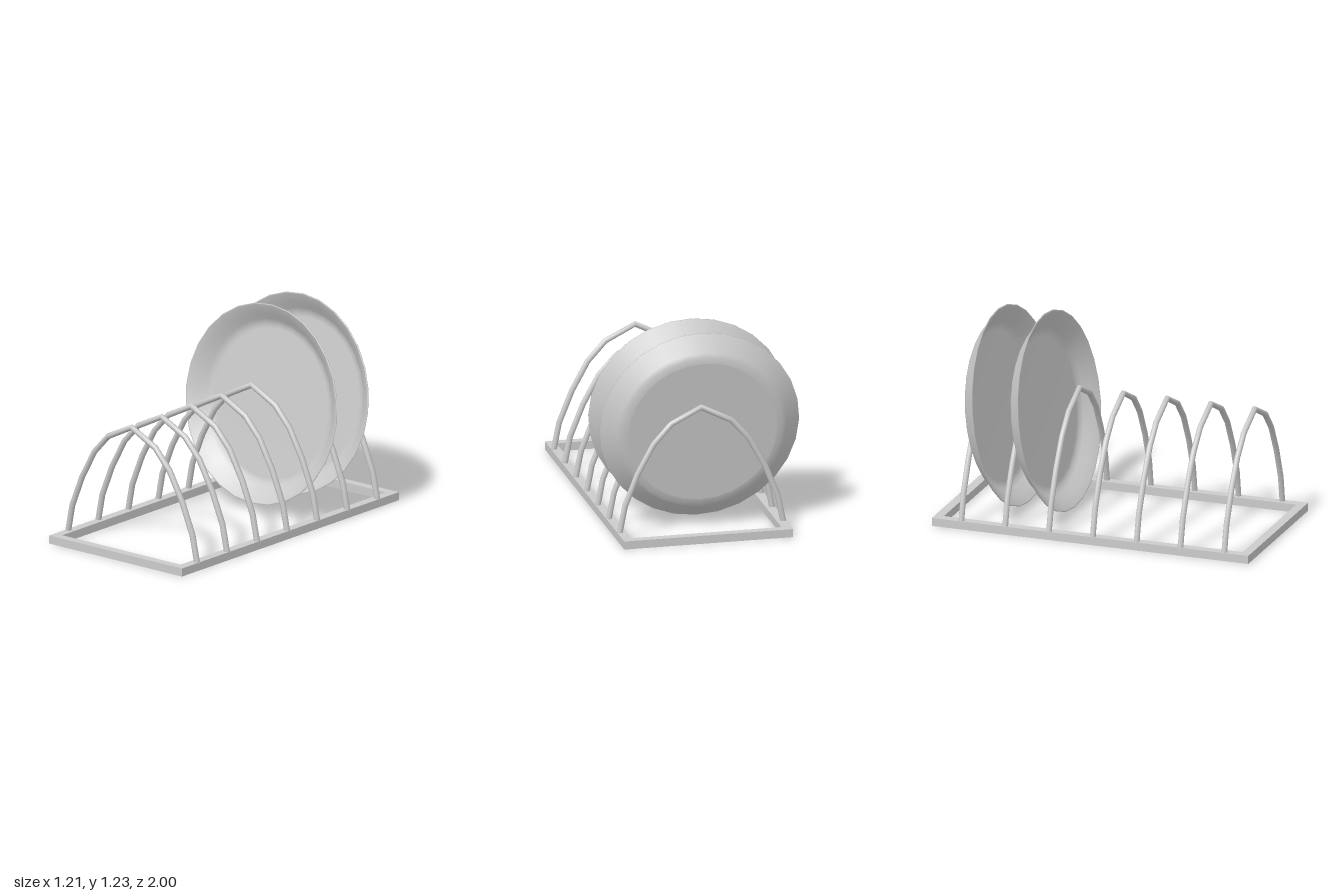
import * as THREE from 'three';

const grey = new THREE.MeshStandardMaterial({ color: 0xcccccc });
const RACK_X = 0.025; // the rack sits slightly off the plates' axis

function part(name, geometry, parent) {
  const mesh = new THREE.Mesh(geometry, grey);
  mesh.name = name;
  parent.add(mesh);
  return mesh;
}

// Straight-segmented path whose corners fall exactly on tube rings
class Polyline extends THREE.Curve {
  constructor(points) { super(); this.points = points; }
  getPoint(t, target = new THREE.Vector3()) {
    const n = this.points.length - 1;
    const i = Math.min(Math.floor(t * n + 1e-9), n - 1);
    return target.lerpVectors(this.points[i], this.points[i + 1], t * n - i);
  }
  getPointAt(t, target) { return this.getPoint(t, target); }
  getTangentAt(t, target) { return this.getTangent(t, target); }
}

function rectangle(Type, halfX, halfY) {
  return new Type([[-1, -1], [1, -1], [1, 1], [-1, 1]]
    .map(([x, y]) => new THREE.Vector2(x * halfX, y * halfY)));
}

// Rectangular base with an open middle
function frameGeometry() {
  const shape = rectangle(THREE.Shape, 0.515, 1);
  shape.holes.push(rectangle(THREE.Path, 0.458, 0.945));
  return new THREE.ExtrudeGeometry(shape, { depth: 0.05, bevelEnabled: false })
    .rotateX(-Math.PI / 2);
}

// Pointed arch: half profile mirrored, leaning very slightly forward
function archGeometry() {
  const half = [[0.5, 0.04], [0.466, 0.21], [0.387, 0.405], [0.29, 0.58], [0.182, 0.698]];
  const profile = [
    ...half.map(([x, y]) => [-x, y]),
    [0, 0.789],
    ...half.slice().reverse(),
  ];
  const points = profile.map(([x, y]) => new THREE.Vector3(x, y, (y - 0.4) * 0.012));
  return new THREE.TubeGeometry(new Polyline(points), points.length - 1, 0.018, 8);
}

// Shallow dish facing +z; the repeated point keeps the foot edge crisp
function plateGeometry() {
  const profile = [
    [0, -0.105], [0.45, -0.105], [0.45, -0.105], [0.485, -0.1], [0.512, -0.083],
    [0.55, -0.045], [0.603, -0.005], [0.603, 0], [0.595, 0], [0.545, -0.034],
    [0.505, -0.07], [0.48, -0.086], [0.45, -0.092], [0, -0.092],
  ].map(([r, y]) => new THREE.Vector2(r, y));
  return new THREE.LatheGeometry(profile, 28).rotateX(Math.PI / 2);
}

export function createModel() {
  const model = new THREE.Group();
  model.name = 'plateRack';

  part('baseFrame', frameGeometry(), model).position.x = RACK_X;

  // Seven evenly spaced dividers
  const arch = archGeometry();
  for (let i = 0; i < 7; i++) {
    part('dividerArch', arch, model).position.set(RACK_X, 0, 0.847 - i * 0.277);
  }

  // Two plates leaning back in the rear slots
  const plate = plateGeometry();
  for (const z of [-0.373, -0.662]) {
    const mesh = part('plate', plate, model);
    mesh.position.set(0, 0.639, z);
    mesh.rotation.set(-0.16, -0.042, 0);
  }

  return model;
}
